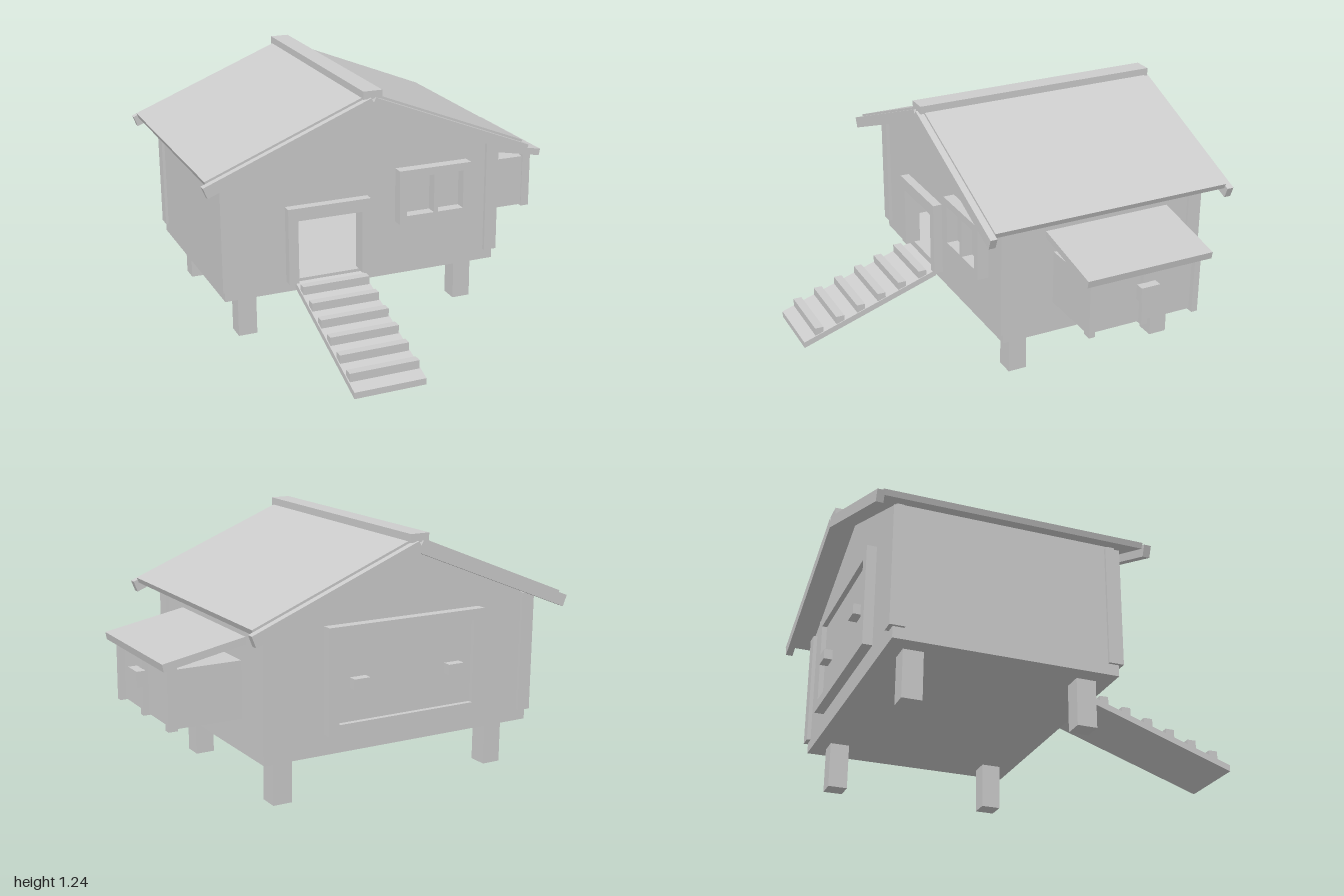
import * as THREE from 'three';

export function createModel() {
  const model = new THREE.Group();
  const wood = new THREE.MeshStandardMaterial({ color: 0xcccccc });
  wood.name = 'pale grey wood';

  const add = (name, geometry) => {
    const mesh = new THREE.Mesh(geometry, wood);
    mesh.name = name;
    model.add(mesh);
    return mesh;
  };
  // Box given by its limits on each axis
  const box = (name, x0, x1, y0, y1, z0, z1) => {
    const mesh = add(name, new THREE.BoxGeometry(x1 - x0, y1 - y0, z1 - z0));
    mesh.position.set((x0 + x1) / 2, (y0 + y1) / 2, (z0 + z1) / 2);
    return mesh;
  };
  // Polygon in x/y with optional holes, extruded from z0 to z1
  const prism = (name, points, z0, z1, holes = []) => {
    const toVec = (list) => list.map(([x, y]) => new THREE.Vector2(x, y));
    const shape = new THREE.Shape(toVec(points));
    holes.forEach((h) => shape.holes.push(new THREE.Path(toVec(h))));
    const geometry = new THREE.ExtrudeGeometry(shape, { depth: z1 - z0, bevelEnabled: false });
    geometry.translate(0, 0, z0);
    return add(name, geometry);
  };
  const rect = (x0, x1, y0, y1) => [[x0, y0], [x1, y0], [x1, y1], [x0, y1]];

  const cx = -0.145, cz = -0.32;      // centre of the house
  const hw = 0.73, hd = 0.537;        // half width and half depth
  const left = cx + hw, right = cx - hw, front = cz + hd, back = cz - hd;
  const t = 0.035;                    // wall thickness

  // Floor and legs
  box('floor', right, left, 0.23, 0.285, back, front);
  for (const sx of [-1, 1]) for (const sz of [-1, 1]) {
    const x = cx + sx * 0.595, z = cz + sz * 0.413;
    box('leg', x - 0.048, x + 0.048, 0, 0.23, z - 0.048, z + 0.048);
  }

  // Gable walls, the front one with a doorway
  const gable = [[right, 0.285], [left, 0.285], [left, 0.897], [cx, 1.19], [right, 0.897]];
  prism('frontWall', gable, front - t, front, [rect(-0.508, -0.171, 0.29, 0.61)]);
  prism('backWall', gable, back, back + t);
  box('leftWall', left - t, left, 0.285, 0.895, back + t, front - t);
  box('rightWall', right, right + t, 0.285, 0.895, back + t, front - t);

  // Corner posts
  for (const sx of [-1, 1]) for (const sz of [-1, 1]) {
    const x = cx + sx * (hw - 0.02), z = cz + sz * (hd - 0.017);
    box('cornerPost', x - 0.034, x + 0.034, 0.285, 0.88, z - 0.036, z + 0.036);
  }

  // Roof: panels, barge boards at both gables, ridge cap
  for (const s of [-1, 1]) {
    const side = (points) => points.map(([d, y]) => [cx + s * d, y]);
    prism('roofPanel', side([[0, 1.224], [0.837, 0.889], [0.827, 0.863], [0, 1.194]]), cz - 0.632, cz + 0.632);
    const barge = side([[0.012, 1.207], [0.855, 0.87], [0.834, 0.817], [0, 1.15], [0, 1.185]]);
    prism('bargeBoard', barge, cz + 0.631, cz + 0.666);
    prism('bargeBoard', barge, cz - 0.666, cz - 0.631);
  }
  box('ridgeCap', cx - 0.049, cx + 0.049, 1.2, 1.24, cz - 0.654, cz + 0.654);

  // Door frame
  prism('doorFrame', [[-0.559, 0.285], [-0.508, 0.285], [-0.508, 0.61], [-0.171, 0.61],
    [-0.171, 0.285], [-0.125, 0.285], [-0.125, 0.675], [-0.559, 0.675]], front, 0.265);

  // Window frame with two lights
  prism('windowFrame', rect(0.028, 0.422, 0.513, 0.795), front, 0.275,
    [rect(0.067, 0.217, 0.555, 0.755), rect(0.24, 0.381, 0.555, 0.755)]);

  // Ramp: sloping board with level treads
  const rampTop = (z) => 0.285 - (z - 0.24) * 0.336;
  const board = box('rampBoard', -0.52, -0.16, -0.5, 0.5, 0.24, 0.985);
  board.position.y = 0;
  const pos = board.geometry.attributes.position;
  for (let i = 0; i < pos.count; i++) {
    const z = pos.getZ(i) + board.position.z;
    pos.setY(i, rampTop(z) - (pos.getY(i) < 0 ? 0.032 : 0));
  }
  board.geometry.computeVertexNormals();
  for (let i = 0; i < 6; i++) {
    const z = 0.899 - i * 0.1165;
    box('rampTread', -0.515, -0.165, rampTop(z) - 0.008, rampTop(z) + 0.035, z - 0.022, z + 0.022);
  }

  // Nest box with end posts, centre strip, latch and sloping lid
  const nz = -0.345;
  box('nestBox', left - 0.01, 0.925, 0.393, 0.668, nz - 0.293, nz + 0.293);
  for (const s of [-1, 1]) {
    const z = nz + s * 0.284;
    box('nestPost', 0.906, 0.952, 0.385, 0.682, z - 0.016, z + 0.016);
  }
  box('nestStrip', 0.915, 0.952, 0.385, 0.682, nz - 0.016, nz + 0.016);
  box('nestLatch', 0.95, 0.995, 0.535, 0.61, nz - 0.05, nz + 0.05);
  prism('nestLid', [[left, 0.753], [0.985, 0.676], [0.992, 0.712], [left, 0.788]], nz - 0.337, nz + 0.337);

  // Back hatch: frame, panel and two handles
  prism('hatchFrame', rect(cx - 0.425, cx + 0.425, 0.33, 0.838), -0.905, back,
    [rect(cx - 0.37, cx + 0.37, 0.38, 0.788)]);
  box('hatchPanel', cx - 0.37, cx + 0.37, 0.38, 0.788, -0.88, back);
  for (const s of [-1, 1]) {
    const x = cx + s * 0.26;
    box('hatchHandle', x - 0.042, x + 0.042, 0.538, 0.59, -0.923, -0.87);
  }

  return model;
}
